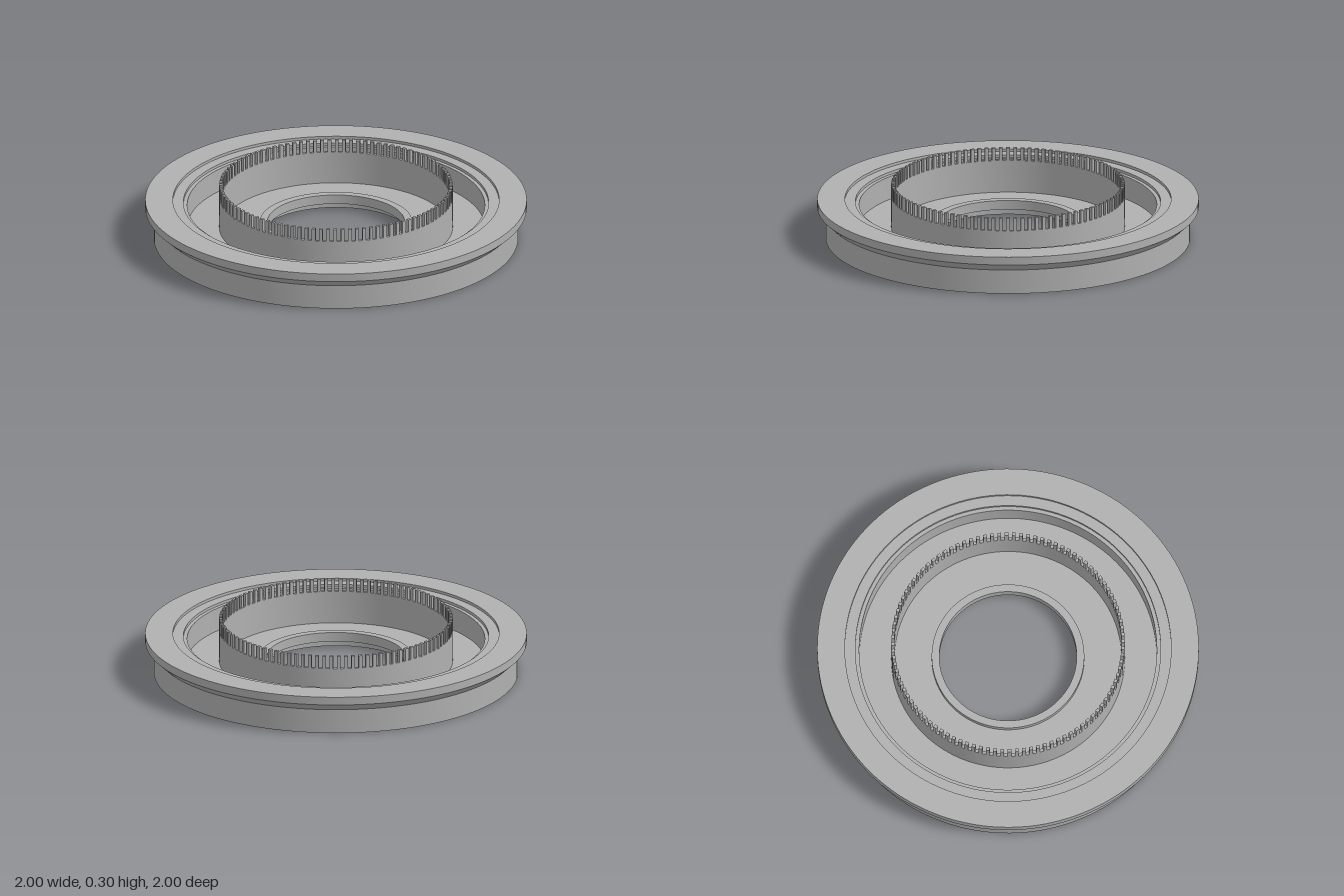
import * as THREE from 'three';
import { toCreasedNormals } from 'three/addons/utils/BufferGeometryUtils.js';

const SEGMENTS = 128;

// Closed [radius, height] profile, listed counter-clockwise, turned round the y axis
function turned(name, profile, material) {
  const points = [...profile, profile[0]].map(([r, y]) => new THREE.Vector2(r, y));
  const geometry = toCreasedNormals(new THREE.LatheGeometry(points, SEGMENTS), 0.5);
  const mesh = new THREE.Mesh(geometry, material);
  mesh.name = name;
  return mesh;
}

export function createModel() {
  const group = new THREE.Group();
  group.name = 'toothedFlange';
  const metal = new THREE.MeshStandardMaterial({ color: 0xb0b0b0 });
  metal.name = 'grey metal';

  // Dish body: chamfered outer flange, stepped rim, sunken floor, collar round the bore
  group.add(turned('body', [
    [0.405, 0], [0.955, 0], [0.955, 0.13], [1, 0.172], [1, 0.215],
    [0.855, 0.215], [0.855, 0.2], [0.8, 0.2], [0.8, 0.185], [0.78, 0.185],
    [0.78, 0.06], [0.4, 0.06], [0.4, 0.09], [0.36, 0.09],
    [0.36, 0.04], [0.405, 0.04],
  ], metal));

  // Thin upright ring standing on the floor
  const inner = 0.595, outer = 0.612, ringTop = 0.235, toothTop = 0.303;
  group.add(turned('ringWall', [
    [inner, 0.05], [outer, 0.05], [outer, ringTop], [inner, ringTop],
  ], metal));

  // Crown of small teeth along the ring's top edge
  const teeth = new THREE.Group();
  teeth.name = 'teeth';
  const count = 100;
  const height = toothTop - ringTop + 0.004;
  const toothGeometry = new THREE.BoxGeometry(0.019, height, outer - inner);
  toothGeometry.translate(0, toothTop - height / 2, (inner + outer) / 2);
  for (let i = 0; i < count; i++) {
    const tooth = new THREE.Mesh(toothGeometry, metal);
    tooth.name = 'tooth';
    tooth.rotation.y = ((i + 0.5) / count) * Math.PI * 2;
    teeth.add(tooth);
  }
  group.add(teeth);

  return group;
}
